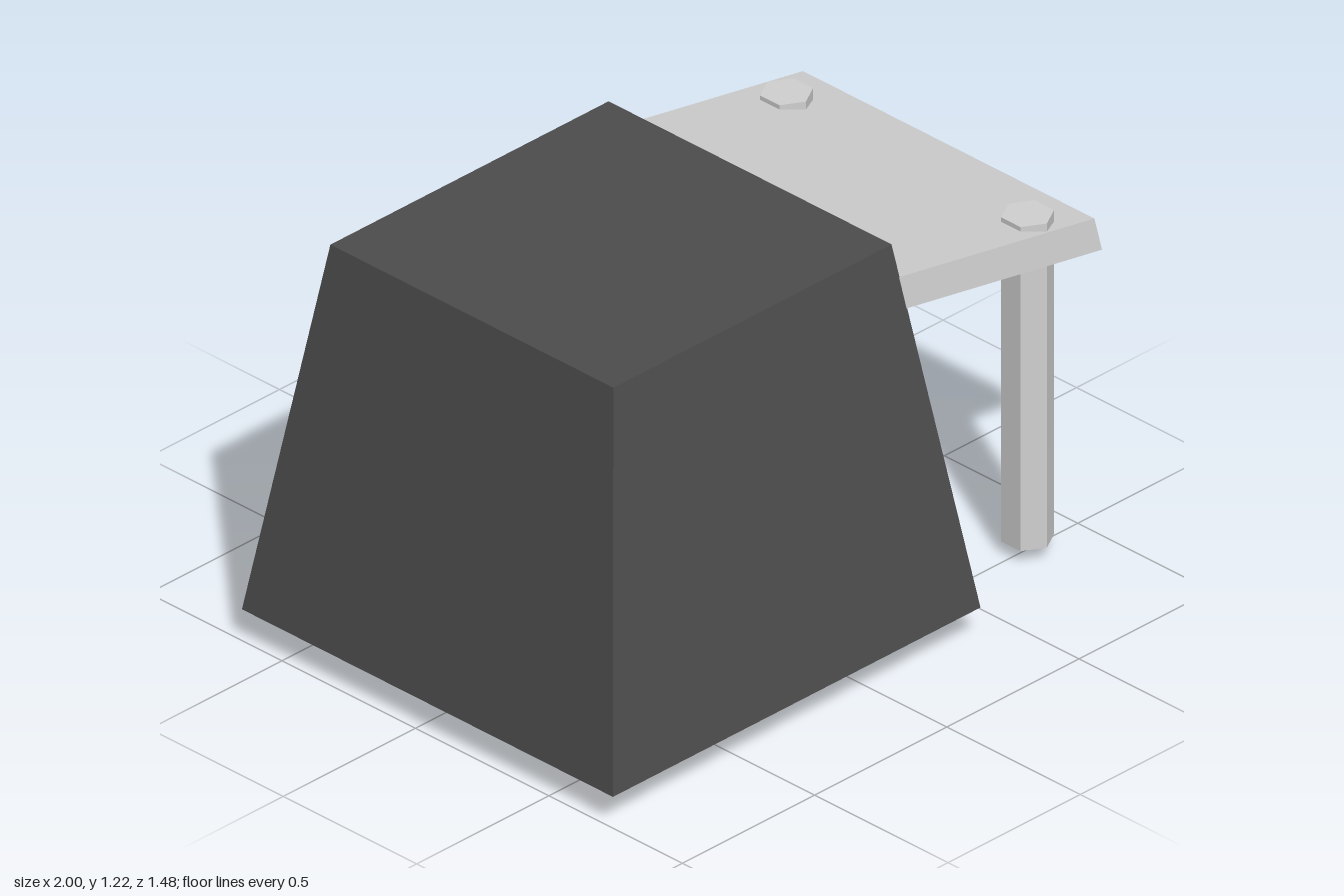
import * as THREE from 'three';

const charcoal = new THREE.MeshStandardMaterial({ color: 0x4d4d4d, flatShading: true, name: 'charcoal' });
const paleGrey = new THREE.MeshStandardMaterial({ color: 0xd0d0d0, flatShading: true, name: 'paleGrey' });

// Flat-faced geometry from four-cornered faces, corners counter-clockwise
function fromQuads(quads) {
  const pos = quads.flatMap(([a, b, c, d]) => [a, b, c, a, c, d].flat());
  const g = new THREE.BufferGeometry();
  g.setAttribute('position', new THREE.Float32BufferAttribute(pos, 3));
  g.computeVertexNormals();
  return g;
}

function addMesh(parent, name, geometry, material, x = 0, y = 0, z = 0) {
  const m = new THREE.Mesh(geometry, material);
  m.name = name;
  m.position.set(x, y, z);
  parent.add(m);
  return m;
}

// Tapered block with an alcove open to the back and the floor
function blockGeometry() {
  const y0 = 0.105, y1 = 1.23;
  const L = -1, R = 0.39, F = 0.74, B = -0.65;           // base
  const l = -0.83, r = 0.222, f = 0.573, b = -0.487;     // top
  const h0 = -0.77, h1 = 0.155, h = 0.975, D = 0.043;    // alcove
  const t = (h - y0) / (y1 - y0);
  const hb = B + (b - B) * t, lh = L + (l - L) * t, rh = R + (r - R) * t;
  const floor = (xa, xb, za, zb) => [[xa, y0, za], [xb, y0, za], [xb, y0, zb], [xa, y0, zb]];
  return fromQuads([
    // outer walls and top
    [[L, y0, F], [R, y0, F], [r, y1, f], [l, y1, f]],
    [[R, y0, F], [R, y0, B], [r, y1, b], [r, y1, f]],
    [[L, y0, B], [L, y0, F], [l, y1, f], [l, y1, b]],
    [[l, y1, f], [r, y1, f], [r, y1, b], [l, y1, b]],
    // back jambs and lintel
    [[R, y0, B], [h1, y0, B], [h1, h, hb], [rh, h, hb]],
    [[h0, y0, B], [L, y0, B], [lh, h, hb], [h0, h, hb]],
    [[rh, h, hb], [lh, h, hb], [l, y1, b], [r, y1, b]],
    // underside
    floor(L, h0, B, D), floor(h1, R, B, D), floor(L, R, D, F),
    // alcove ceiling, end and sides
    [[h0, h, hb], [h1, h, hb], [h1, h, D], [h0, h, D]],
    [[h1, y0, D], [h0, y0, D], [h0, h, D], [h1, h, D]],
    [[h0, y0, D], [h0, y0, B], [h0, h, hb], [h0, h, D]],
    [[h1, y0, B], [h1, y0, D], [h1, h, D], [h1, h, hb]],
  ]);
}

// Sloping slab, slightly wider underneath
function slabGeometry() {
  const outline = [[0.249, 1.033, 0.56], [0.988, 0.903, 0.56], [0.973, 1.0, 0.546], [0.235, 1.13, 0.546]];
  const front = outline.map(([x, y, w]) => [x, y, 0.043 + w]);
  const back = outline.map(([x, y, w]) => [x, y, 0.043 - w]);
  const sides = outline.map((_, i) => {
    const j = (i + 1) % 4;
    return [front[j], front[i], back[i], back[j]];
  });
  return fromQuads([front, [...back].reverse(), ...sides]);
}

// Square bar along x that swells in steps towards its middle
function gripGeometry() {
  const half = [[0.2, 0], [0.2, 0.028], [0.165, 0.036], [0.125, 0.037], [0.09, 0.0435]];
  const points = [
    ...half.map(([d, w]) => new THREE.Vector2(w * Math.SQRT2, -d)),
    ...[...half].reverse().map(([d, w]) => new THREE.Vector2(w * Math.SQRT2, d)),
  ];
  return new THREE.LatheGeometry(points, 4, Math.PI / 4).rotateZ(Math.PI / 2);
}

export function createModel() {
  const model = new THREE.Group();
  model.name = 'shelterWithTable';

  addMesh(model, 'taperedBlock', blockGeometry(), charcoal);
  addMesh(model, 'tableTop', slabGeometry(), paleGrey);

  // Hexagonal legs that come up through the table top
  const leg = new THREE.CylinderGeometry(0.073, 0.073, 1.003, 6);
  addMesh(model, 'frontLeg', leg, paleGrey, 0.8, 0.5535, 0.51);
  addMesh(model, 'backLeg', leg, paleGrey, 0.8, 0.5535, -0.393);

  // Leaning rod with its cross grip
  const handle = new THREE.Group();
  handle.name = 'handle';
  handle.position.set(0.797, 0.3085, -0.601);
  handle.rotation.x = 0.327;
  addMesh(handle, 'rod', new THREE.CylinderGeometry(0.043, 0.043, 0.605, 6), paleGrey);
  addMesh(handle, 'grip', gripGeometry(), charcoal, 0, 0.232, 0);
  model.add(handle);

  return model;
}
